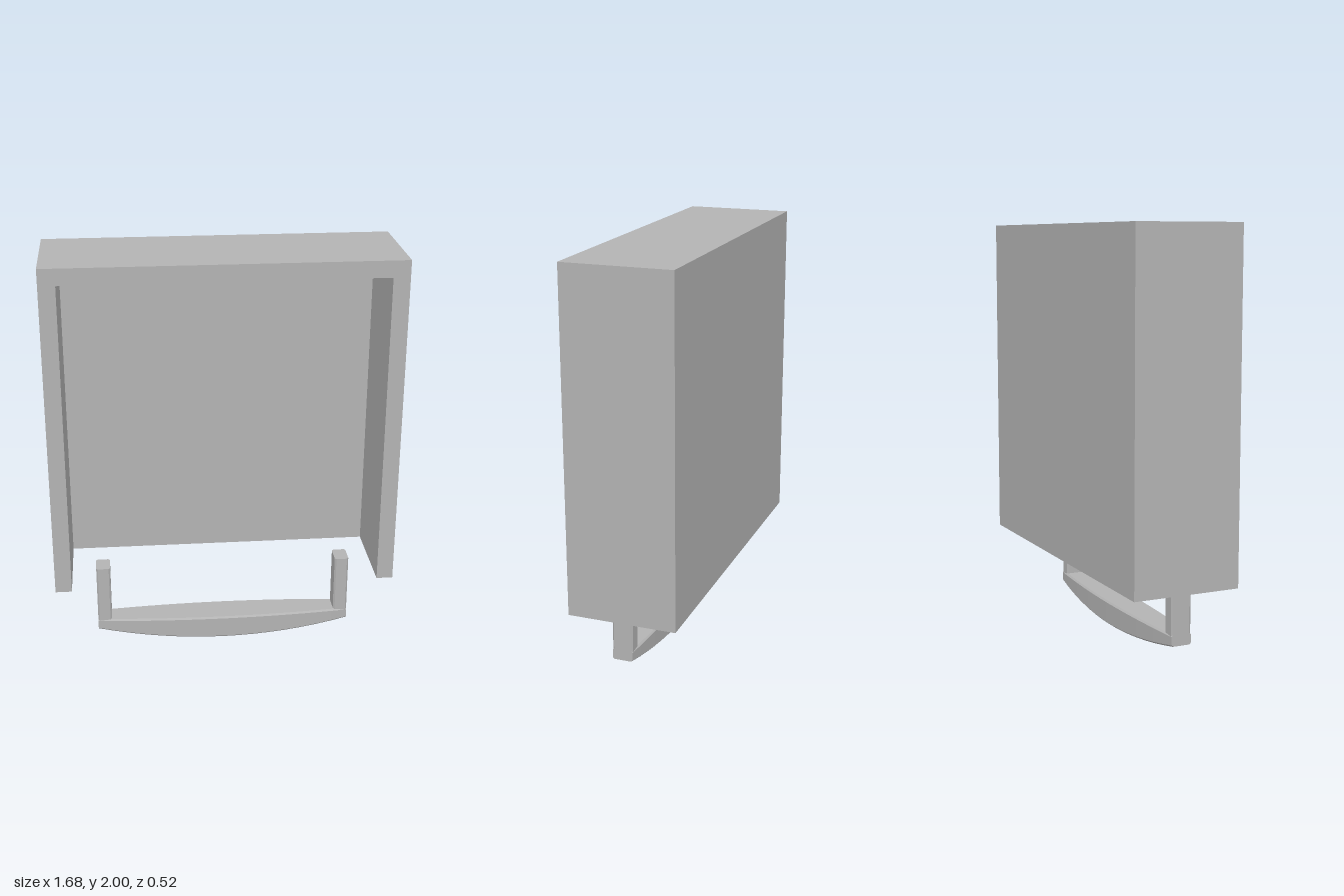
import * as THREE from 'three';

// Rectangle with cut corners, counter-clockwise, as [u, v] pairs
function cutRect(u0, u1, v0, v1, c) {
  return [
    [u1, v0 + c], [u1, v1 - c], [u1 - c, v1], [u0 + c, v1],
    [u0, v1 - c], [u0, v0 + c], [u0 + c, v0], [u1 - c, v0],
  ];
}

// Skin between successive rings of points, closed with a cap at each end
function loft(rings) {
  const pos = [];
  const tri = (a, b, c) => pos.push(...a, ...b, ...c);
  const n = rings[0].length;
  for (let i = 0; i < rings.length - 1; i++) {
    for (let j = 0; j < n; j++) {
      const k = (j + 1) % n;
      tri(rings[i][j], rings[i][k], rings[i + 1][k]);
      tri(rings[i][j], rings[i + 1][k], rings[i + 1][j]);
    }
  }
  const first = rings[0], last = rings[rings.length - 1];
  for (let j = 1; j < n - 1; j++) {
    tri(first[0], first[j + 1], first[j]);
    tri(last[0], last[j], last[j + 1]);
  }
  const geo = new THREE.BufferGeometry();
  geo.setAttribute('position', new THREE.Float32BufferAttribute(pos, 3));
  geo.computeVertexNormals();
  return geo;
}

export function createModel() {
  const model = new THREE.Group();
  model.name = 'drawer';
  const grey = new THREE.MeshStandardMaterial({ color: 0xb3b3b3 });
  grey.name = 'grey';

  const add = (parent, name, geo) => {
    const mesh = new THREE.Mesh(geo, grey);
    mesh.name = name;
    parent.add(mesh);
    return mesh;
  };

  // Case: an upside-down U of walls, open at the front and the bottom
  const W = 0.84, D = 0.262, T = 0.08, bottom = 0.365, top = 2;
  const walls = new THREE.Shape([
    [-W, bottom], [-W + T, bottom], [-W + T, top - T], [W - T, top - T],
    [W - T, bottom], [W, bottom], [W, top], [-W, top],
  ].map(([x, y]) => new THREE.Vector2(x, y)));
  const wallGeo = new THREE.ExtrudeGeometry(walls, { depth: 2 * D - T, bevelEnabled: false });
  add(model, 'caseWalls', wallGeo).position.z = -D + T;

  // Back panel
  const backGeo = new THREE.BoxGeometry(2 * W, top - bottom, T);
  add(model, 'backPanel', backGeo).position.set(0, (top + bottom) / 2, -D + T / 2);

  // Handle: a grip that is deepest and widest in the middle
  const handle = new THREE.Group();
  handle.name = 'handle';
  model.add(handle);
  const H = 0.64, midZ = 0.081, cut = 0.008, steps = 16;
  const rings = [];
  for (let i = 0; i <= steps; i++) {
    const t = -1 + (2 * i) / steps;
    const half = 0.083 - 0.032 * t * t;
    rings.push(cutRect(0.062 * t * t, 0.118, midZ - half, midZ + half, cut)
      .map(([y, z]) => [t * H, y, z]));
  }
  add(handle, 'handleGrip', loft(rings));

  // Posts rising from the grip ends into the case
  for (const side of [-1, 1]) {
    const x = side * 0.605;
    const section = cutRect(midZ - 0.051, midZ + 0.051, x - 0.035, x + 0.035, cut);
    const post = loft([0.08, 0.41].map((y) => section.map(([z, px]) => [px, y, z])));
    add(handle, side > 0 ? 'leftHandlePost' : 'rightHandlePost', post);
  }
  return model;
}
